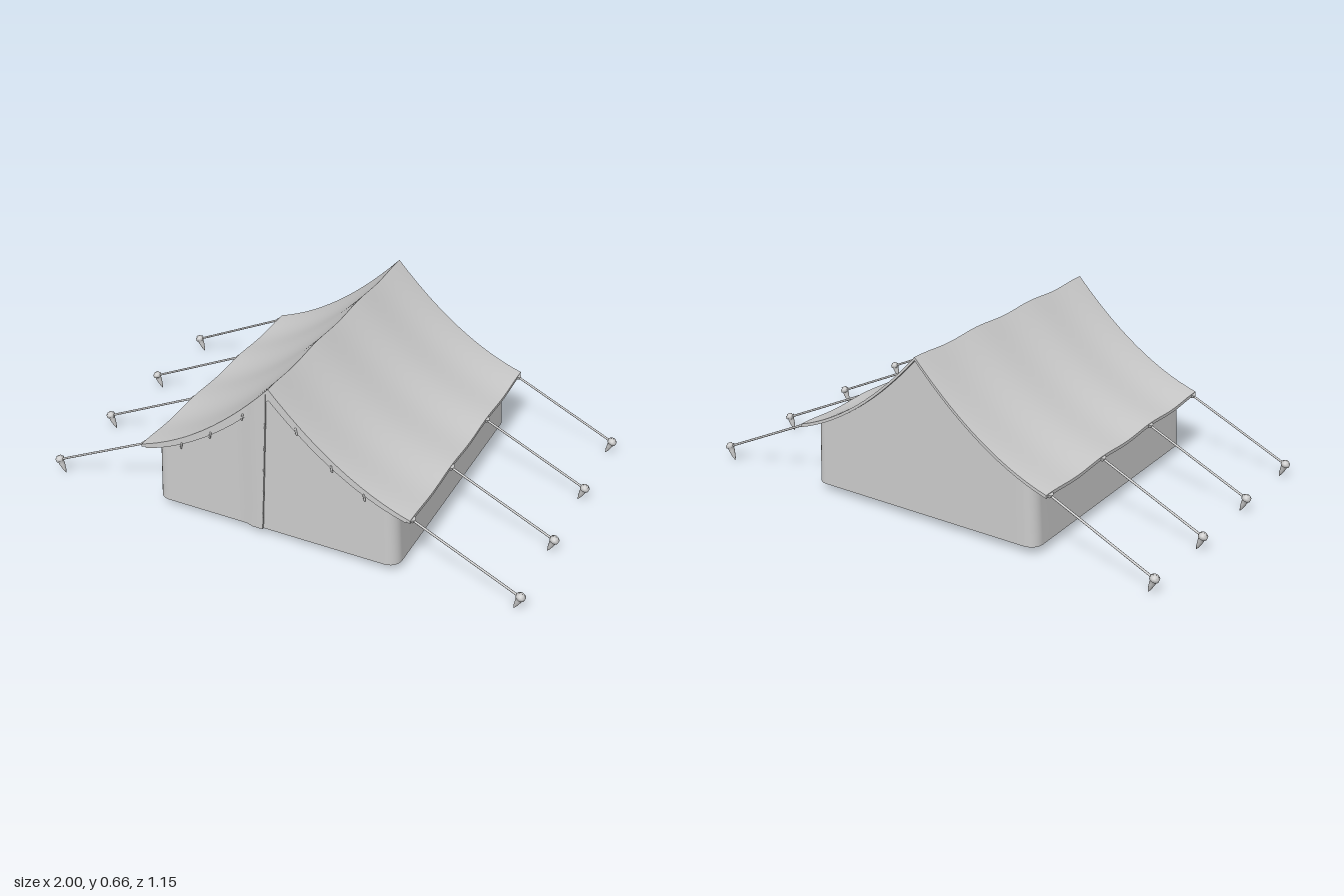
import * as THREE from 'three';

const mat = new THREE.MeshStandardMaterial({ color: 0xcccccc, side: THREE.DoubleSide });
const EAVE = 0.56, FLOOR = 0.03;

// Sagging roof line: ridge at x = 0, eaves at |x| = EAVE, drooping between the guy ropes
function roofY(x, z = 0.55) {
  const t = Math.min(Math.abs(x) / EAVE, 1);
  const droop = 0.004 * (1 - Math.cos(((z - 0.183) / 0.367) * Math.PI * 2));
  return 0.66 - 0.395 * t - 0.22 * t * (1 - t) - droop;
}

function add(parent, name, geometry) {
  const mesh = new THREE.Mesh(geometry, mat);
  mesh.name = name;
  parent.add(mesh);
  return mesh;
}

// Thin slab bent by a rule: fn(u, v, w) with each parameter in 0..1
function bentSlab(nu, nv, nw, fn) {
  const geo = new THREE.BoxGeometry(1, 1, 1, nu, nv, nw);
  const p = geo.attributes.position;
  for (let i = 0; i < p.count; i++) {
    p.setXYZ(i, ...fn(p.getX(i) + 0.5, p.getY(i) + 0.5, p.getZ(i) + 0.5));
  }
  geo.computeVertexNormals();
  return geo;
}

// Ground plan of the walls, running from the door slit all the way round to it again
function wallPath() {
  const X = 0.51, Z = 0.562, R = 0.05, pts = [];
  const line = (x0, z0, x1, z1, n, nx, nz) => {
    for (let i = 0; i <= n; i++) {
      const t = i / n;
      pts.push({ x: x0 + (x1 - x0) * t, z: z0 + (z1 - z0) * t, nx, nz });
    }
  };
  const corner = (cx, cz, a0) => {
    for (let i = 1; i < 6; i++) {
      const a = a0 - (i / 6) * Math.PI / 2;
      const nx = Math.cos(a), nz = Math.sin(a);
      pts.push({ x: cx + R * nx, z: cz + R * nz, nx, nz });
    }
  };
  const x = X - R, z = Z - R;
  line(-0.06, Z, 0, Z, 1, 0, 1);
  line(0.04, Z, x, Z, 12, 0, 1);
  corner(x, z, Math.PI / 2);
  line(X, z, X, -z, 12, 1, 0);
  corner(x, -z, 0);
  line(x, -Z, -x, -Z, 24, 0, -1);
  corner(-x, -z, -Math.PI / 2);
  line(-X, -z, -X, z, 12, -1, 0);
  corner(-x, z, -Math.PI);
  line(-x, Z, -0.02, Z, 14, 0, 1);
  return pts;
}

function wallGeometry() {
  const path = wallPath(), n = path.length - 1;
  return bentSlab(n, 6, 1, (u, v, w) => {
    const i = Math.round(u * n), q = path[i];
    let { x, z } = q;
    if (i === n) x = -0.04 + 0.03 * v; // leaning free edge of the door flap
    if (i > n - 3) z += 0.009; // flap overlaps the other panel
    x *= 1 - 0.025 * v * Math.min(1, Math.abs(x) / 0.45); // slight flare at the bottom
    const d = -0.008 * (1 - w);
    const top = roofY(x, z) - 0.008;
    return [x + q.nx * d, FLOOR + (top - FLOOR) * v, z + q.nz * d];
  });
}

// Guy rope with eave tab and ground peg, for the +x side
function guyLine() {
  const g = new THREE.Group();
  g.name = 'guyLine';
  const a = new THREE.Vector3(0.545, 0.262, 0), b = new THREE.Vector3(0.985, 0.052, 0);
  const rope = add(g, 'rope', new THREE.CylinderGeometry(0.0045, 0.0045, a.distanceTo(b), 8));
  rope.position.copy(a).add(b).multiplyScalar(0.5);
  rope.quaternion.setFromUnitVectors(new THREE.Vector3(0, 1, 0), a.clone().sub(b).normalize());

  const tab = add(g, 'eaveTab', new THREE.CylinderGeometry(0.017, 0.017, 0.012, 12));
  tab.position.set(0.553, 0.259, 0);
  tab.rotation.z = -0.42;

  const profile = [[0, -0.07], [0.006, -0.055], [0.012, -0.026], [0.012, -0.014], [0.018, -0.012],
    [0.018, 0], [0.011, 0.002], [0.011, 0.007], [0, 0.009]].map(([r, y]) => new THREE.Vector2(r, y));
  const peg = add(g, 'peg', new THREE.LatheGeometry(profile, 12));
  peg.position.set(0.982, 0.062, 0);
  peg.rotation.z = -0.38;

  const knot = add(g, 'knot', new THREE.TorusGeometry(0.012, 0.004, 6, 12));
  knot.position.set(0.978, 0.056, 0);
  knot.rotation.set(Math.PI / 2, 0.42, 0);
  return g;
}

export function createModel() {
  const tent = new THREE.Group();
  tent.name = 'tent';

  add(tent, 'walls', wallGeometry());

  // Two roof halves meeting at the ridge, with a hem along the front gable
  for (const side of [1, -1]) {
    const xAt = (u) => (side > 0 ? u : u - 1) * EAVE;
    add(tent, side > 0 ? 'leftRoof' : 'rightRoof', bentSlab(14, 1, 48, (u, v, w) => {
      const x = xAt(u), z = -0.575 + 1.146 * w;
      return [x, roofY(x, z) - 0.013 * (1 - v), z];
    }));
    add(tent, 'gableHem', bentSlab(14, 1, 1, (u, v, w) => {
      const x = xAt(u) * 0.97, t = Math.abs(x) / EAVE;
      return [x, roofY(x, 0.57) - 0.003 - (0.045 - 0.028 * t) * (1 - v), 0.56 + 0.009 * w];
    }));

    // Toggles under the hem
    for (const x of [0.11, 0.25, 0.38]) {
      const toggle = add(tent, 'gableToggle', new THREE.CapsuleGeometry(0.004, 0.022, 3, 8));
      toggle.position.set(side * x, roofY(x) - 0.035, 0.57);
      toggle.rotation.z = side * 0.2;
    }

    // Four guy lines on each side
    for (const z of [0.548, 0.183, -0.183, -0.548]) {
      const line = guyLine();
      line.position.z = z;
      if (side < 0) line.rotation.y = Math.PI;
      tent.add(line);
    }
  }

  // Toggles down the door slit
  for (let i = 0; i < 5; i++) {
    const toggle = add(tent, 'doorToggle', new THREE.CapsuleGeometry(0.003, 0.02, 3, 8));
    toggle.position.set(-0.035 + 0.005 * i, 0.1 + 0.1 * i, 0.572);
  }
  return tent;
}
